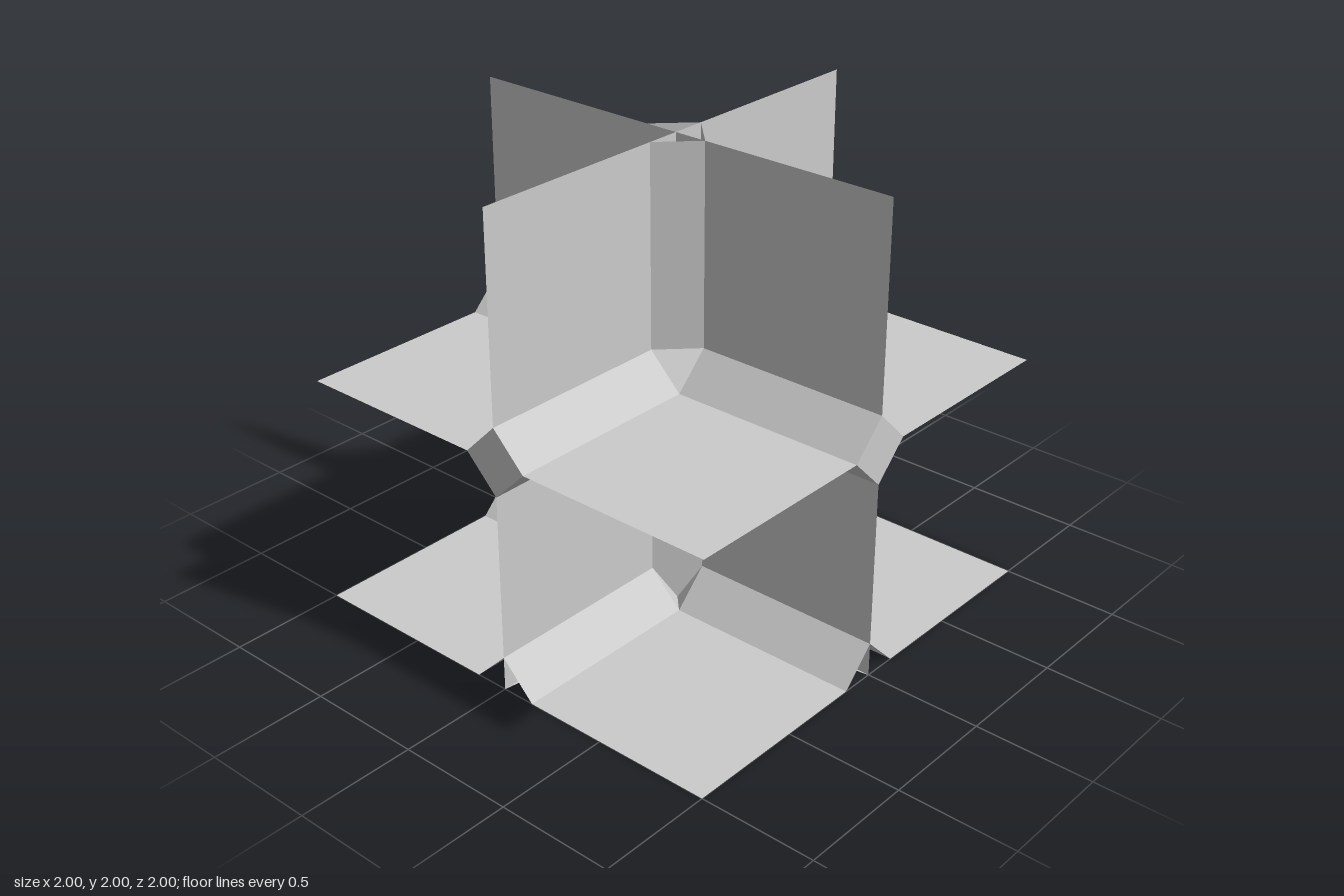
import * as THREE from 'three';

const A = 0.145; // half width of the diamond ducts
const material = new THREE.MeshStandardMaterial({
  color: 0xcccccc, flatShading: true, side: THREE.DoubleSide,
});

function add(parent, name, geometry) {
  const mesh = new THREE.Mesh(geometry, material);
  mesh.name = name;
  parent.add(mesh);
  return mesh;
}

// Flat facet from three or four corner points
function facet(parent, name, ...corners) {
  const order = corners.length === 4 ? [0, 1, 2, 0, 2, 3] : [0, 1, 2];
  const geometry = new THREE.BufferGeometry();
  geometry.setAttribute('position',
    new THREE.Float32BufferAttribute(order.flatMap((i) => corners[i]), 3));
  geometry.computeVertexNormals();
  return add(parent, name, geometry);
}

export function createModel() {
  const model = new THREE.Group();
  model.name = 'crossedPanels';

  // Three large crossing sheets
  const sheet = () => new THREE.PlaneGeometry(2, 2);
  add(model, 'frontSheet', sheet().translate(0, 1, 0));
  add(model, 'sideSheet', sheet().rotateY(Math.PI / 2).translate(0, 1, 0));
  add(model, 'middleSheet', sheet().rotateX(-Math.PI / 2).translate(0, 1, 0));

  // Open vertical duct around the line where the upright sheets cross
  add(model, 'verticalDuct',
    new THREE.CylinderGeometry(A, A, 2, 4, 1, true).translate(0, 1, 0));

  // Four arms at each level: closed diamonds in the middle, open roofs at the base
  for (let i = 0; i < 4; i++) {
    const arm = new THREE.Group();
    arm.name = 'arm' + (i + 1);
    arm.rotation.y = (i * Math.PI) / 2;
    model.add(arm);
    add(arm, 'middleDuct', new THREE.CylinderGeometry(A, A, 1 - A, 4)
      .rotateX(Math.PI / 2).translate(0, 1, (1 + A) / 2));
    for (const s of [-1, 1]) {
      facet(arm, 'baseBevel', [s * A, 0, 1], [0, A, 1], [0, A, A], [s * A, 0, A]);
    }
  }

  for (const x of [-1, 1]) {
    for (const z of [-1, 1]) {
      // Corner facets where three middle bevels meet
      for (const y of [-1, 1]) {
        facet(model, 'middleCorner',
          [x * A, 1, z * A], [0, 1 + y * A, z * A], [x * A, 1 + y * A, 0]);
      }
      // Folded corners at the base
      const foot = [x * A / 2, 0, z * A / 2];
      facet(model, 'baseCorner', [0, A, z * A], [x * A, 0, z * A], foot);
      facet(model, 'baseCorner', [x * A, A, 0], [x * A, 0, z * A], foot);
      // Square base sheet in each quadrant
      facet(model, 'baseSheet',
        [x * A, 0, z * A], [x, 0, z * A], [x, 0, z], [x * A, 0, z]);
    }
  }

  // Four-pointed star closing the middle of the base
  const star = new THREE.Shape();
  for (let i = 0; i < 8; i++) {
    const r = i % 2 ? A * Math.SQRT2 : 1;
    const t = (i * Math.PI) / 4;
    star[i ? 'lineTo' : 'moveTo'](r * Math.cos(t), r * Math.sin(t));
  }
  add(model, 'baseStar', new THREE.ShapeGeometry(star).rotateX(-Math.PI / 2));

  return model;
}
